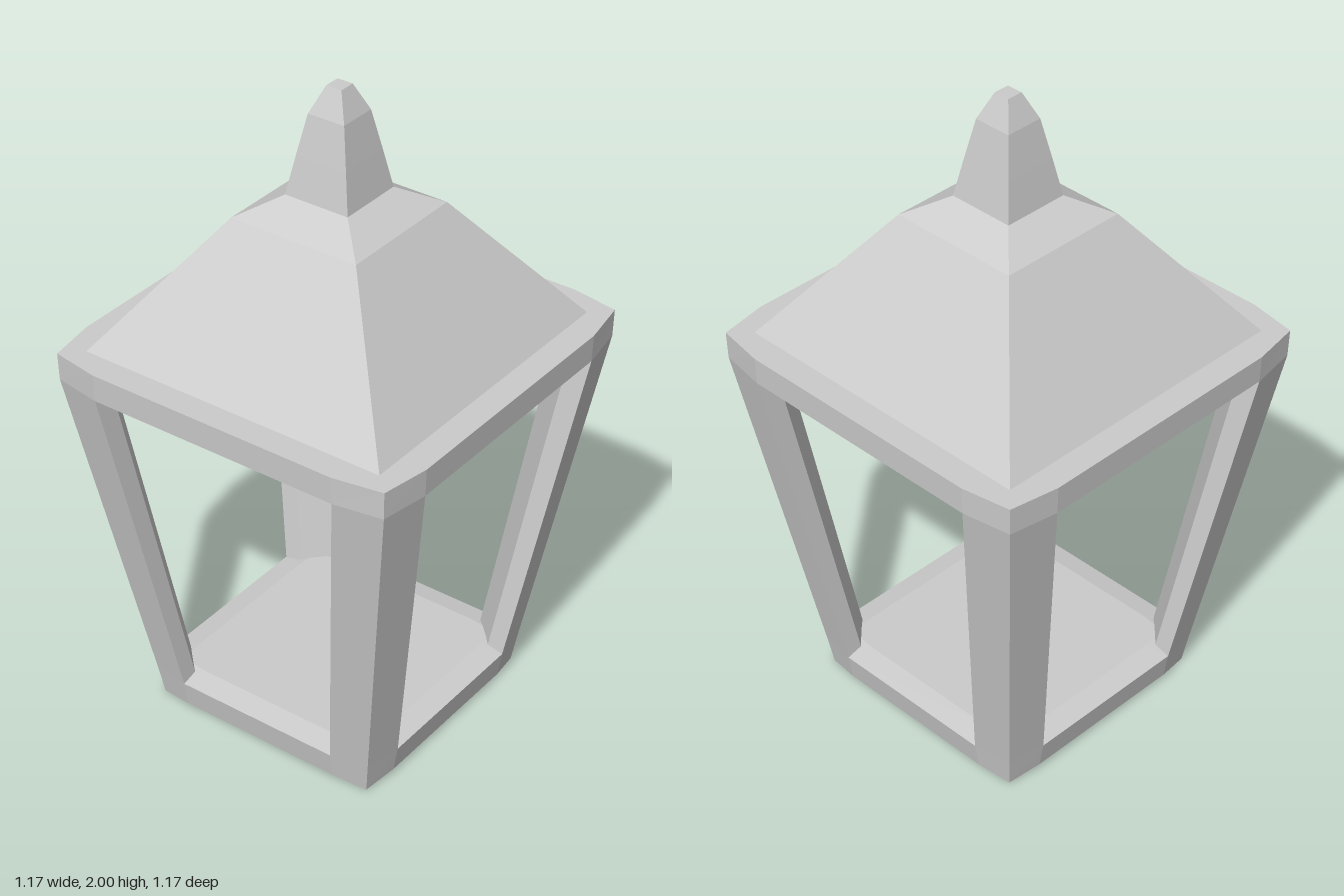
import * as THREE from 'three';

const material = new THREE.MeshStandardMaterial({ color: 0xcccccc, flatShading: true });

// Joins rings of [x, y, z] points from bottom to top; optional end caps.
function loft(name, rings, capped = true) {
  const pos = [];
  const tri = (...pts) => pts.forEach((p) => pos.push(...p));
  const n = rings[0].length;
  for (let r = 0; r < rings.length - 1; r++) {
    for (let i = 0; i < n; i++) {
      const j = (i + 1) % n;
      const a = rings[r][i], b = rings[r][j], c = rings[r + 1][i], d = rings[r + 1][j];
      tri(a, c, b);
      tri(b, c, d);
    }
  }
  if (capped) {
    const low = rings[0], high = rings[rings.length - 1];
    for (let i = 0; i < n; i++) {
      const j = (i + 1) % n;
      tri([0, low[0][1], 0], low[i], low[j]);
      tri([0, high[0][1], 0], high[j], high[i]);
    }
  }
  const geometry = new THREE.BufferGeometry();
  geometry.setAttribute('position', new THREE.Float32BufferAttribute(pos, 3));
  geometry.computeVertexNormals();
  const mesh = new THREE.Mesh(geometry, material);
  mesh.name = name;
  return mesh;
}

// Repeats one corner's points around the four corners.
function fourfold(points) {
  const ring = [];
  for (let k = 0; k < 4; k++) {
    ring.push(...points);
    points = points.map(([x, y, z]) => [-z, y, x]);
  }
  return ring;
}

// Square plan whose corners taper in slightly from the shoulders.
const plan = (y, outer, shoulder, corner, cornerY = y) =>
  fourfold([[outer, y, shoulder], [corner, cornerY, corner], [shoulder, y, outer]]);

const square = ([y, half]) => fourfold([[half, y, half]]);

const postSection = (y, outer, shoulder, corner, inner) => [
  [outer, y, shoulder], [corner, y, corner], [shoulder, y, outer],
  [shoulder, y, inner], [inner, y, shoulder],
];

export function createModel() {
  const lantern = new THREE.Group();
  lantern.name = 'lantern';

  // Base with dipped corners and a bevelled floor
  lantern.add(loft('base', [
    plan(0.015, 0.395, 0.27, 0.375, 0),
    plan(0.1, 0.41, 0.27, 0.39),
    plan(0.115, 0.34, 0.25, 0.33),
  ]));

  // Four leaning corner posts, chamfered on the inside
  for (let k = 0; k < 4; k++) {
    const post = loft('cornerPost', [
      postSection(0.1, 0.41, 0.27, 0.39, 0.355),
      postSection(1.145, 0.58, 0.405, 0.555, 0.51),
    ], false);
    post.rotation.y = (k * Math.PI) / 2;
    lantern.add(post);
  }

  // Top frame, closed underneath
  lantern.add(loft('topFrame', [
    plan(1.145, 0.58, 0.405, 0.555),
    plan(1.23, 0.583, 0.405, 0.557),
  ]));

  // Hipped roof
  lantern.add(loft('roof', [[1.23, 0.5], [1.62, 0.21], [1.68, 0.105]].map(square)));

  // Tapered finial
  lantern.add(loft('finial',
    [[1.68, 0.105], [1.8, 0.083], [1.92, 0.06], [2, 0.025]].map(square)));

  return lantern;
}
